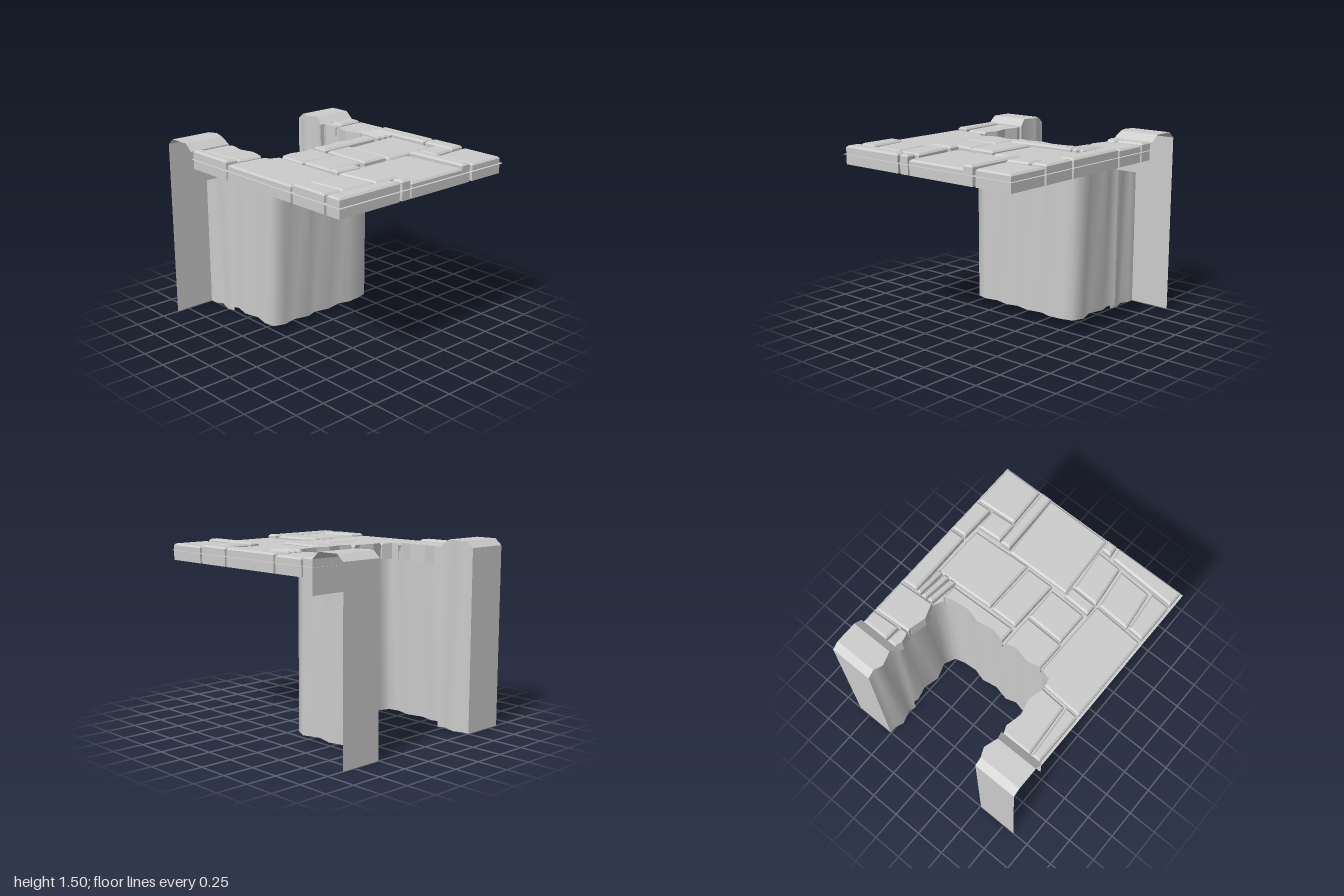
import * as THREE from 'three';

const material = new THREE.MeshStandardMaterial({ color: 0xcccccc, side: THREE.DoubleSide });
const plan = (x, z) => new THREE.Vector2(x, -z);

// Broken edge of the opening (x, z), from back left round the front to back right
const rim = [
  [-.51, -.7], [-.485, -.635], [-.515, -.51], [-.485, -.38], [-.515, -.26], [-.5, -.17],
  [-.405, -.14], [-.29, -.165], [-.16, -.135], [-.07, -.165], [.06, -.135], [.19, -.16],
  [.295, -.13], [.415, -.14], [.5, -.165], [.545, -.26], [.5, -.385], [.535, -.52],
  [.505, -.635], [.53, -.7],
].map(([x, z]) => plan(x, z));
const brokenPoints = new Set(rim);

// Paving layout: left, right, back, front, sideways slant of the joints
const layout = [
  [-.835, -.765, -.69, -.26, .03], [-.745, -.45, -.69, -.265, .03],
  [-.835, -.41, -.24, .485, -.01], [-.395, -.075, -.24, .075, -.005],
  [-.385, -.08, .09, .36, 0], [-.405, -.185, .385, .475, 0],
  [-.835, -.71, .51, .835, .03], [-.695, -.43, .5, .82, .04],
  [-.405, -.2, .49, .83, .04], [-.835, -.28, .86, .98, .02],
  [-.245, -.165, .865, .98, .01], [-.17, .37, .42, .98, .03],
  [.385, .47, .435, .98, .015], [.485, .685, .445, .615, 0],
  [.5, .835, .635, .98, .015], [-.05, .505, -.24, -.065, 0],
  [-.05, .175, -.035, .385, -.01], [.195, .68, -.03, .405, -.005],
  [.548, .59, -.265, -.035, -.03], [.605, .645, -.265, -.03, -.025],
  [.66, .695, -.26, -.025, -.015], [.705, .835, -.25, .3, .005],
  [.71, .835, .32, .61, -.005], [.48, .835, -.55, -.27, 0],
  [.48, .6, -.69, -.56, -.01], [.615, .835, -.69, -.57, -.005],
];

// Slanted four-sided outline; cross joints bow gently towards the front
function outline([x0, x1, z0, z1, slant]) {
  const corner = (x, z) => {
    const px = z === z1 && Math.abs(x) < .83 ? x + slant : x;
    return plan(px, z > -.68 && z < .97 ? z + .03 * Math.cos(2.2 * px) : z);
  };
  const c = [corner(x0, z1), corner(x1, z1), corner(x1, z0), corner(x0, z0)];
  // Begin at the corner farthest from the opening
  const reach = c.map((p) => Math.abs(p.x) - p.y);
  const start = reach.indexOf(Math.max(...reach));
  return [...c.slice(start), ...c.slice(0, start)];
}

// Places where the side a-b meets the rim, in order along the side
function crossings(a, b) {
  const hits = [];
  const ab = b.clone().sub(a);
  for (let j = 0; j < rim.length - 1; j++) {
    const cd = rim[j + 1].clone().sub(rim[j]);
    const ac = rim[j].clone().sub(a);
    const det = ab.cross(cd);
    const s = ac.cross(cd) / det, u = ac.cross(ab) / det;
    if (s >= 0 && s < 1 && u >= 0 && u < 1) hits.push({ s, t: j + u, p: a.clone().addScaledVector(ab, s) });
  }
  return hits.sort((h, k) => h.s - k.s);
}

// Break a stone off along the rim
function breakAtRim(corners) {
  const out = [];
  let entered = null;
  corners.forEach((a, i) => {
    if (entered === null) out.push(a);
    for (const { t, p } of crossings(a, corners[(i + 1) % corners.length])) {
      brokenPoints.add(p);
      if (entered === null) {
        entered = t;
      } else {
        const run = rim.slice(Math.ceil(Math.min(t, entered)), Math.floor(Math.max(t, entered)) + 1);
        out.push(...(t > entered ? run : run.reverse()));
        entered = null;
      }
      out.push(p);
    }
  });
  return out;
}

// Move each side inwards by d, except broken sides
function inset(pts, d) {
  const n = pts.length;
  const line = (i) => {
    const a = pts[i], b = pts[(i + 1) % n];
    const dir = b.clone().sub(a).normalize();
    const normal = new THREE.Vector2(-dir.y, dir.x);
    const broken = brokenPoints.has(a) && brokenPoints.has(b);
    return { normal, c: normal.dot(a) + (broken ? 0 : d) };
  };
  return pts.map((p, i) => {
    const l = line((i + n - 1) % n), m = line(i);
    const det = l.normal.cross(m.normal);
    if (Math.abs(det) < .2) return p.clone().addScaledVector(m.normal, m.c - m.normal.dot(p));
    return new THREE.Vector2(
      (l.c * m.normal.y - m.c * l.normal.y) / det,
      (l.normal.x * m.c - m.normal.x * l.c) / det);
  });
}

function surface(position, index, smooth) {
  let g = new THREE.BufferGeometry();
  g.setAttribute('position', new THREE.Float32BufferAttribute(position, 3));
  g.setIndex(index);
  if (!smooth) g = g.toNonIndexed();
  g.computeVertexNormals();
  return g;
}

// Surface between two rows of [x, y, z] points
function strip(a, b, smooth) {
  const index = [];
  const n = a.length;
  for (let i = 0; i < n - 1; i++) index.push(i, n + i, n + i + 1, i, n + i + 1, i + 1);
  return surface([...a, ...b].flat(), index, smooth);
}

// Open-bottomed stone with a chamfered top; broader stones sit lower
function stoneGeometry(row) {
  const [x0, x1, z0, z1] = row;
  const height = 1.46 - .065 * Math.min(x1 - x0, z1 - z0);
  const base = breakAtRim(outline(row));
  const top = inset(base, .014);
  const n = base.length;
  const rings = [[base, 1.305], [base, height - .014], [top, height]];
  const index = [];
  for (let a = 0; a < 2 * n; a += n) {
    for (let i = 0; i < n; i++) {
      const j = (i + 1) % n, b = a + n;
      index.push(a + i, a + j, b + j, a + i, b + j, b + i);
    }
  }
  for (const f of THREE.ShapeUtils.triangulateShape(top, [])) index.push(...f.map((v) => v + 2 * n));
  return surface(rings.flatMap(([ring, y]) => ring.flatMap((p) => [p.x, y, -p.y])), index, false);
}

export function createModel() {
  const model = new THREE.Group();
  const add = (parent, name, geometry) => {
    const mesh = new THREE.Mesh(geometry, material);
    mesh.name = name;
    parent.add(mesh);
  };

  // Paving
  const paving = new THREE.Group();
  paving.name = 'paving';
  model.add(paving);
  layout.forEach((row) => add(paving, 'pavingStone', stoneGeometry(row)));

  // Thin mortar sheet with the opening cut from its back
  const sheet = new THREE.Shape([
    plan(-.855, 1), plan(.855, 1), plan(.855, -.7), ...rim.slice().reverse(), plan(-.855, -.7)]);
  add(model, 'mortarSheet', new THREE.ShapeGeometry(sheet).rotateX(-Math.PI / 2).translate(0, 1.385, 0));

  // Wall hanging below the rim of the opening
  const wallRow = (y) => rim.map((p) => [p.x * 1.005, y, p.y < .3 ? .015 - p.y : -p.y]);
  add(model, 'shaftWall', strip(wallRow(.04), wallRow(1.37), true));

  // Posts at the back: open on the outer side, with a chamfered cap and a short front apron
  const capProfile = [ // z, y, inner x
    [-1, 0, .505], [-1, 1.45, .505], [-.94, 1.5, .505], [-.87, 1.5, .475],
    [-.76, 1.5, .51], [-.695, 1.445, .49], [-.695, 1.19, .49],
  ];
  const sides = capProfile.slice(1, 6);
  for (const side of [1, -1]) {
    const post = new THREE.Group();
    post.name = side > 0 ? 'leftPost' : 'rightPost';
    post.scale.x = side;
    add(post, 'postBackAndCap', strip(
      capProfile.map(([z, y]) => [.855, y, z]),
      capProfile.map(([z, y, x]) => [x, y, z])));
    add(post, 'postInnerWall', strip(
      sides.map(([z, y, x]) => [x, y, z]),
      sides.map(([z, , x]) => [x, 0, z]), true));
    model.add(post);
  }
  return model;
}
